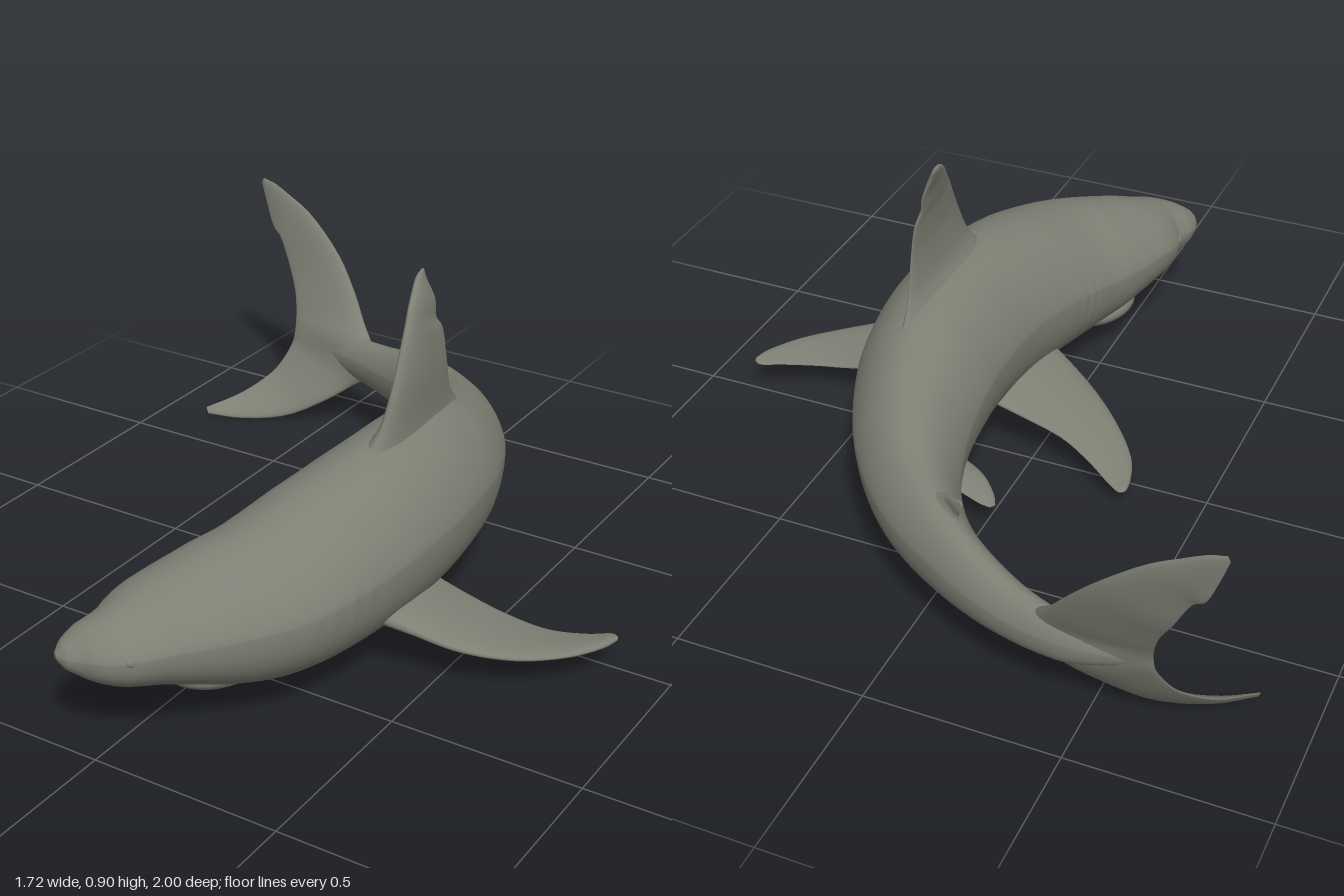
import * as THREE from 'three';

const V = (a) => new THREE.Vector3(a[0], a[1], a[2]);
const UP = new THREE.Vector3(0, 1, 0);

// Skin a list of closed rings, capping both ends, with outward faces
function loft(rings) {
  const n = rings[0].length, pts = rings.flat(), index = [];
  for (let i = 0; i < rings.length - 1; i++) {
    for (let j = 0; j < n; j++) {
      const a = i * n + j, b = i * n + (j + 1) % n;
      index.push(a, b, b + n, a, b + n, a + n);
    }
  }
  const last = (rings.length - 1) * n;
  for (let j = 1; j < n - 1; j++) {
    index.push(0, j + 1, j, last, last + j, last + j + 1);
  }
  let volume = 0;
  for (let k = 0; k < index.length; k += 3) {
    volume += pts[index[k]].dot(pts[index[k + 1]].clone().cross(pts[index[k + 2]]));
  }
  if (volume < 0) index.reverse();
  const g = new THREE.BufferGeometry().setFromPoints(pts);
  g.setIndex(index);
  g.computeVertexNormals();
  return g;
}

// Body stations from nose to tail: centre x, centre z, half width, top y, bottom y
const STATIONS = [
  [-0.102, 0.998, 0.01, 0.258, 0.24],
  [-0.092, 0.984, 0.04, 0.28, 0.215],
  [-0.068, 0.95, 0.075, 0.31, 0.187],
  [-0.017, 0.888, 0.121, 0.346, 0.157],
  [0.03, 0.79, 0.161, 0.388, 0.13],
  [0.1, 0.66, 0.194, 0.433, 0.088],
  [0.16, 0.545, 0.212, 0.465, 0.07],
  [0.205, 0.395, 0.216, 0.505, 0.066],
  [0.24, 0.18, 0.208, 0.537, 0.075],
  [0.243, 0, 0.198, 0.54, 0.085],
  [0.222, -0.18, 0.182, 0.52, 0.09],
  [0.157, -0.4, 0.146, 0.452, 0.1],
  [0.05, -0.58, 0.106, 0.39, 0.112],
  [-0.11, -0.725, 0.07, 0.35, 0.13],
  [-0.3, -0.82, 0.053, 0.303, 0.148],
  [-0.45, -0.862, 0.038, 0.287, 0.162],
  [-0.56, -0.872, 0.02, 0.265, 0.195],
  [-0.63, -0.874, 0.006, 0.245, 0.225],
];
const LAST = STATIONS.length - 1;
const spine = new THREE.CatmullRomCurve3(STATIONS.map((s) => V([s[0], 0, s[1]])));
const girth = new THREE.CatmullRomCurve3(STATIONS.map((s) => V([s[2], s[3], s[4]])));

// Point on the body skin: t along the spine, a around the section
function bodyPoint(t, a) {
  const c = spine.getPoint(t), s = girth.getPoint(t);
  const side = new THREE.Vector3().crossVectors(spine.getTangent(t), UP).normalize();
  const mid = (s.y + s.z) / 2 + 0.05 * (s.y - s.z);
  const sn = Math.sin(a);
  // shallow gill ripples on the flanks
  const gill = Math.exp(-(((t * LAST - 6.7) / 0.45) ** 2)) * Math.exp(-((sn / 0.5) ** 2));
  const w = s.x * (1 + 0.015 * gill * Math.sin(t * LAST * 22));
  const p = c.addScaledVector(side, Math.cos(a) * w);
  p.y = sn >= 0 ? mid + (s.y - mid) * sn ** 1.42 : mid - (mid - s.z) * (-sn) ** 0.9;
  return p;
}

function bodyGeometry() {
  const rings = [];
  for (let i = 0; i <= 170; i++) {
    const ring = [];
    for (let j = 0; j < 48; j++) ring.push(bodyPoint(i / 170, (j / 48) * Math.PI * 2));
    rings.push(ring);
  }
  return loft(rings);
}

// Fin from sections of [leading point, trailing point, half thickness]
function finGeometry(sections, steps = 48) {
  const lead = new THREE.CatmullRomCurve3(sections.map((s) => V(s[0])));
  const trail = new THREE.CatmullRomCurve3(sections.map((s) => V(s[1])));
  const thick = new THREE.CatmullRomCurve3(sections.map((s, i) => V([s[2], i, 0])));
  const rings = [];
  for (let i = 0; i <= steps; i++) {
    const t = i / steps, l = lead.getPoint(t), r = trail.getPoint(t);
    const chord = r.clone().sub(l);
    const span = lead.getTangent(t).add(trail.getTangent(t));
    const out = new THREE.Vector3().crossVectors(chord, span).normalize();
    const h = Math.max(thick.getPoint(t).x, 0.002);
    const ring = [];
    for (let j = 0; j < 24; j++) {
      const a = (j / 24) * Math.PI * 2, f = (1 - Math.cos(a)) / 2;
      ring.push(l.clone().addScaledVector(chord, f)
        .addScaledVector(out, Math.sin(a) * h * (1.25 - 0.75 * f)));
    }
    rings.push(ring);
  }
  return loft(rings);
}

const FINS = {
  tailFin: [
    [[-0.845, 0.012, -0.65], [-0.855, 0.03, -0.655], 0.004],
    [[-0.75, 0.002, -0.695], [-0.78, 0.065, -0.75], 0.01],
    [[-0.62, 0.02, -0.755], [-0.71, 0.13, -0.825], 0.014],
    [[-0.5, 0.085, -0.805], [-0.68, 0.19, -0.86], 0.018],
    [[-0.425, 0.14, -0.835], [-0.67, 0.225, -0.875], 0.022],
    [[-0.36, 0.19, -0.845], [-0.668, 0.25, -0.88], 0.026],
    [[-0.36, 0.26, -0.85], [-0.67, 0.28, -0.89], 0.026],
    [[-0.42, 0.33, -0.89], [-0.678, 0.315, -0.905], 0.021],
    [[-0.475, 0.405, -0.925], [-0.695, 0.365, -0.925], 0.017],
    [[-0.56, 0.505, -0.963], [-0.73, 0.43, -0.95], 0.014],
    [[-0.68, 0.61, -0.985], [-0.778, 0.52, -0.967], 0.011],
    [[-0.75, 0.65, -0.988], [-0.805, 0.54, -0.975], 0.009],
    [[-0.81, 0.68, -0.99], [-0.835, 0.61, -0.983], 0.007],
    [[-0.85, 0.69, -0.99], [-0.857, 0.675, -0.988], 0.003],
  ],
  dorsalFin: [
    [[0.25, 0.44, 0.28], [0.235, 0.43, -0.33], 0.085],
    [[0.26, 0.52, 0.215], [0.25, 0.51, -0.235], 0.048],
    [[0.27, 0.575, 0.175], [0.26, 0.565, -0.185], 0.03],
    [[0.275, 0.67, 0.13], [0.265, 0.66, -0.155], 0.022],
    [[0.265, 0.77, 0.07], [0.258, 0.74, -0.142], 0.018],
    [[0.257, 0.81, 0.038], [0.25, 0.77, -0.124], 0.016],
    [[0.245, 0.85, 0], [0.242, 0.815, -0.13], 0.014],
    [[0.222, 0.89, -0.07], [0.225, 0.865, -0.118], 0.008],
    [[0.215, 0.897, -0.11], [0.217, 0.888, -0.116], 0.003],
  ],
  leftPectoralFin: [
    [[0.32, 0.19, 0.38], [0.32, 0.175, 0.08], 0.05],
    [[0.45, 0.15, 0.34], [0.46, 0.13, 0.07], 0.026],
    [[0.57, 0.117, 0.305], [0.58, 0.1, 0.063], 0.018],
    [[0.69, 0.097, 0.24], [0.69, 0.086, 0.052], 0.014],
    [[0.79, 0.092, 0.15], [0.78, 0.086, 0.02], 0.011],
    [[0.845, 0.092, 0.06], [0.835, 0.09, -0.008], 0.009],
    [[0.858, 0.092, 0.015], [0.853, 0.092, 0], 0.004],
  ],
  rightPectoralFin: [
    [[0.13, 0.185, 0.33], [0.13, 0.175, -0.02], 0.04],
    [[0.02, 0.152, 0.28], [0.02, 0.145, -0.02], 0.024],
    [[-0.1, 0.112, 0.21], [-0.1, 0.11, -0.025], 0.018],
    [[-0.2, 0.08, 0.125], [-0.19, 0.077, -0.055], 0.014],
    [[-0.275, 0.058, 0.03], [-0.26, 0.057, -0.095], 0.011],
    [[-0.303, 0.052, -0.05], [-0.292, 0.052, -0.11], 0.009],
    [[-0.308, 0.052, -0.09], [-0.303, 0.052, -0.105], 0.004],
  ],
  leftPelvicFin: [
    [[0.2, 0.125, -0.25], [0.15, 0.125, -0.38], 0.02],
    [[0.235, 0.085, -0.31], [0.185, 0.085, -0.41], 0.011],
    [[0.25, 0.055, -0.39], [0.225, 0.055, -0.435], 0.006],
    [[0.247, 0.05, -0.425], [0.238, 0.05, -0.438], 0.003],
  ],
  rightPelvicFin: [
    [[0.13, 0.125, -0.21], [0.09, 0.125, -0.34], 0.02],
    [[0.04, 0.1, -0.235], [0.04, 0.1, -0.335], 0.011],
    [[-0.015, 0.085, -0.285], [0, 0.085, -0.335], 0.006],
    [[-0.035, 0.082, -0.32], [-0.025, 0.082, -0.335], 0.003],
  ],
  secondDorsalFin: [
    [[-0.01, 0.35, -0.64], [-0.14, 0.32, -0.745], 0.02],
    [[-0.06, 0.378, -0.668], [-0.12, 0.355, -0.715], 0.01],
    [[-0.095, 0.396, -0.695], [-0.13, 0.38, -0.722], 0.007],
    [[-0.125, 0.41, -0.715], [-0.135, 0.402, -0.722], 0.003],
  ],
  analFin: [
    [[0, 0.14, -0.61], [-0.11, 0.15, -0.715], 0.016],
    [[-0.035, 0.105, -0.635], [-0.1, 0.115, -0.705], 0.009],
    [[-0.07, 0.083, -0.665], [-0.105, 0.09, -0.7], 0.006],
    [[-0.09, 0.076, -0.685], [-0.1, 0.078, -0.695], 0.003],
  ],
};

export function createModel() {
  const model = new THREE.Group();
  const skin = new THREE.MeshStandardMaterial({ name: 'grey skin', color: 0x7f8074 });
  const add = (name, geometry) => {
    const mesh = new THREE.Mesh(geometry, skin);
    mesh.name = name;
    model.add(mesh);
    return mesh;
  };

  add('body', bodyGeometry());
  for (const [name, sections] of Object.entries(FINS)) add(name, finGeometry(sections));

  // Lower jaw hanging below the snout
  const jaw = add('lowerJaw', new THREE.SphereGeometry(1, 32, 20));
  jaw.scale.set(0.118, 0.052, 0.14);
  jaw.position.set(0.085, 0.12, 0.64);
  jaw.rotation.y = -0.37;

  // Small eyes barely bulging from the sides of the head
  for (const [name, a] of [['leftEye', 0.1], ['rightEye', Math.PI - 0.1]]) {
    const eye = add(name, new THREE.SphereGeometry(0.014, 16, 12));
    eye.position.copy(bodyPoint(3 / LAST, a));
    eye.position.lerp(spine.getPoint(3 / LAST).setY(eye.position.y), 0.09);
  }
  return model;
}
